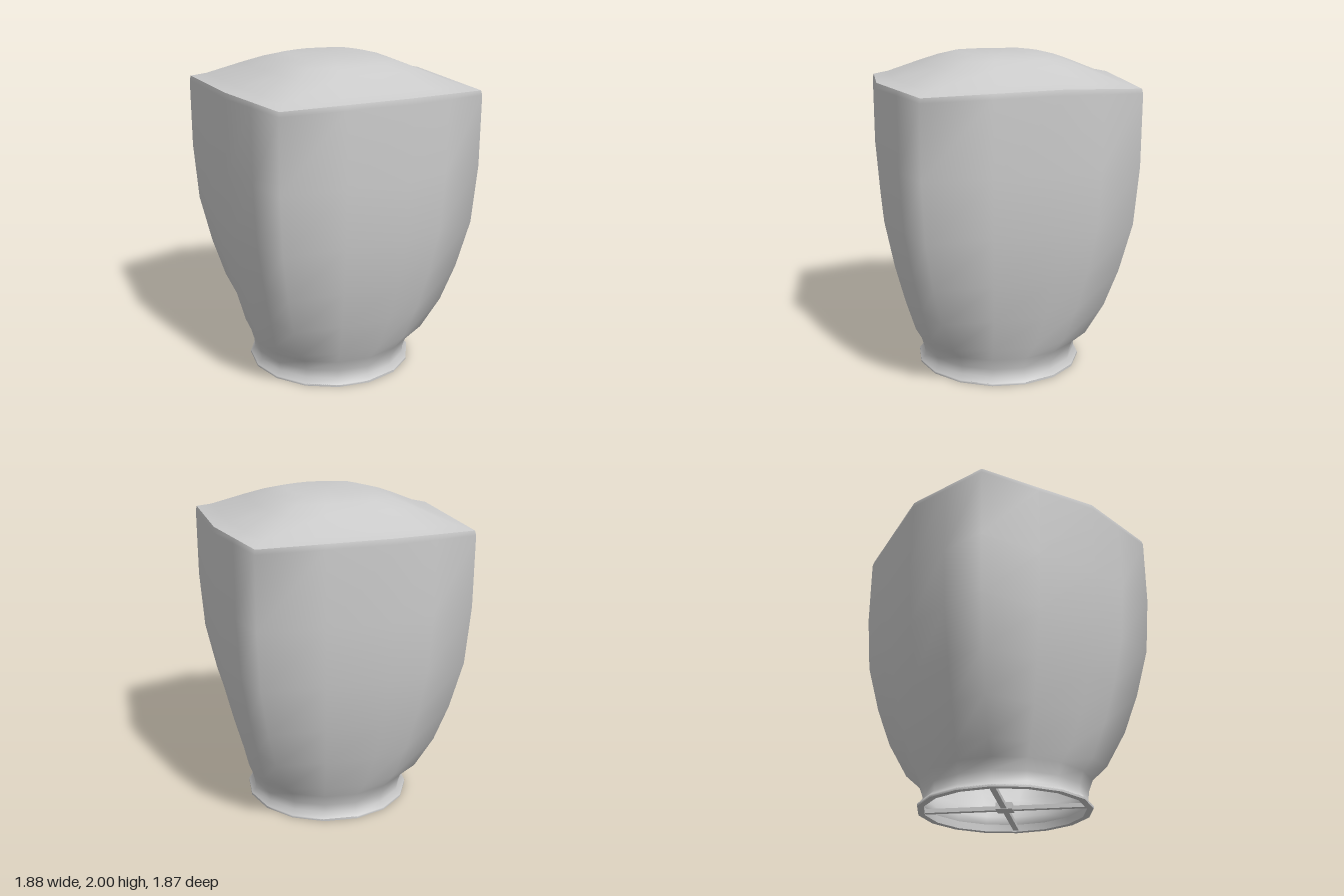
import * as THREE from 'three';
import { toCreasedNormals } from 'three/addons/utils/BufferGeometryUtils.js';

// Eight plan corners (x, z) of the shoulder, doubled to 16 by edge midpoints
const half = [[0.94, 0], [0.625, 0.49], [0, 0.935], [-0.435, 0.625]];
const corners = [...half, ...half.map(([x, z]) => [-x, -z])];
const plan = [];
corners.forEach(([x, z], i) => {
  const [nx, nz] = corners[(i + 1) % 8];
  plan.push([x, z], [(x + nx) / 2, (z + nz) / 2]);
});
const N = plan.length;

// Loft of rings [corner radius, y, roundness, extra height between corners], bottom to top
function loft(rings, closeTop) {
  const pos = [], index = [];
  for (const [r, y, round, lift = 0] of rings) {
    plan.forEach(([x, z], i) => {
      const a = (i / N) * Math.PI * 2;
      const k = r / 0.94;
      const rise = lift * (1 - Math.abs((i % 4) - 2) / 2);
      pos.push(
        THREE.MathUtils.lerp(x * k, Math.cos(a) * r, round),
        y + rise,
        THREE.MathUtils.lerp(z * k, Math.sin(a) * r, round));
    });
  }
  for (let j = 0; j < rings.length - 1; j++) {
    for (let i = 0; i < N; i++) {
      const a = j * N + i, b = j * N + (i + 1) % N;
      index.push(a, a + N, b, b, a + N, b + N);
    }
  }
  if (closeTop) {
    const c = pos.length / 3, s = c - N;
    pos.push(0, rings[rings.length - 1][1], 0);
    for (let i = 0; i < N; i++) index.push(s + i, c, s + (i + 1) % N);
  }
  const geo = new THREE.BufferGeometry();
  geo.setAttribute('position', new THREE.Float32BufferAttribute(pos, 3));
  geo.setIndex(index);
  geo.computeVertexNormals();
  return geo;
}

export function createModel() {
  const group = new THREE.Group();
  const mat = new THREE.MeshStandardMaterial({ color: 0xcccccc, side: THREE.DoubleSide });
  const add = (name, geo, x = 0, y = 0, z = 0) => {
    const mesh = new THREE.Mesh(geo, mat);
    mesh.name = name;
    mesh.position.set(x, y, z);
    group.add(mesh);
    return mesh;
  };

  // Hollow body: flared foot, round neck, angular shoulders
  add('body', loft([
    [0.53, 0.005, 1], [0.53, 0.015, 1], [0.5, 0.045, 1], [0.505, 0.1, 1],
    [0.53, 0.17, 0.95], [0.62, 0.25, 0.5], [0.74, 0.46, 0.15], [0.83, 0.7, 0.05],
    [0.91, 1.0, 0], [0.94, 1.36, 0], [0.94, 1.79, 0, 0.02], [0.932, 1.818, 0, 0.025],
  ], false));

  // Shallow domed lid
  add('domedTop', loft([
    [0.932, 1.818, 0, 0.025], [0.82, 1.842, 0, 0.02], [0.57, 1.925, 0.1, 0.012],
    [0.43, 1.968, 0.25, 0.005], [0.29, 2.0, 0.4],
  ], true));

  // Lip around the open underside
  const lip = new THREE.LatheGeometry(
    [[0.53, 0], [0.53, 0.015], [0.49, 0.045], [0.49, 0], [0.53, 0]]
      .map(([r, y]) => new THREE.Vector2(r, y)), N, Math.PI / 2);
  add('footLip', toCreasedNormals(lip, 0.6));

  // Crossed bars and hub inside the foot
  add('crossBarX', new THREE.BoxGeometry(1.0, 0.025, 0.035), 0, 0.02, 0);
  add('crossBarZ', new THREE.BoxGeometry(0.035, 0.025, 1.0), 0, 0.02, 0);
  add('hub', new THREE.BoxGeometry(0.1, 0.04, 0.1), 0, 0.025, 0);

  return group;
}
